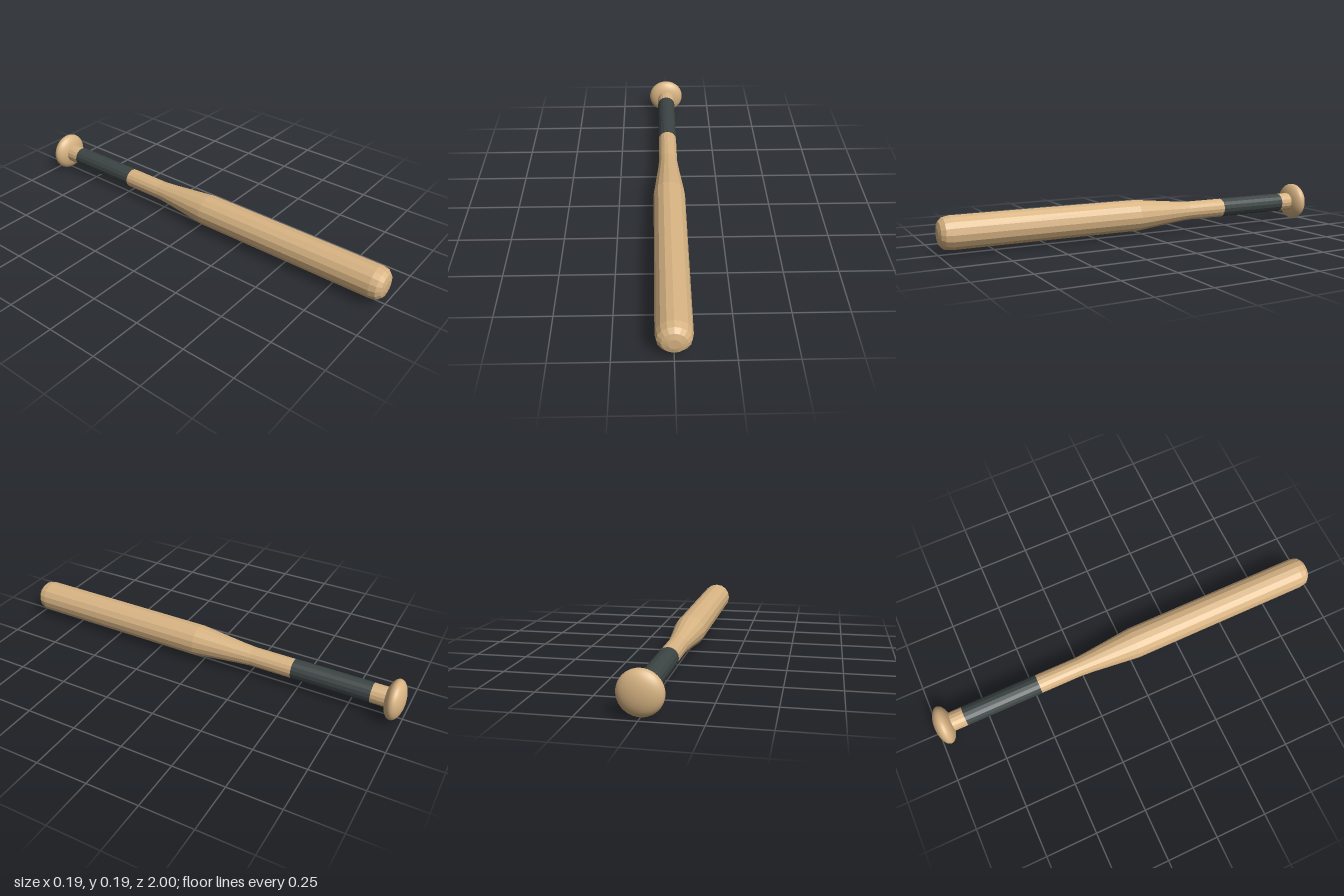
import * as THREE from 'three';

const SIDES = 16;
const AXIS_Y = 0.096;

export function createModel() {
  const wood = new THREE.MeshStandardMaterial({ color: 0xd8b483, flatShading: true });
  wood.name = 'wood';
  const knobWood = wood.clone();
  knobWood.flatShading = false;
  knobWood.name = 'smooth wood';
  const wrap = new THREE.MeshStandardMaterial({ color: 0x3c4444, flatShading: true });
  wrap.name = 'dark grip';

  const bat = new THREE.Group();
  bat.name = 'bat';

  // Turned part along z from [radius, z] pairs, ordered back to front
  const turned = (name, profile, material) => {
    const points = profile.map(([r, z]) => new THREE.Vector2(r, z));
    const mesh = new THREE.Mesh(new THREE.LatheGeometry(points, SIDES).rotateX(Math.PI / 2), material);
    mesh.name = name;
    mesh.position.y = AXIS_Y;
    bat.add(mesh);
  };

  // Bare neck between knob and grip
  turned('neck', [[0.047, -0.95], [0.047, -0.85]], wood);

  // Wrapped grip
  turned('grip', [[0.048, -0.85], [0.048, -0.47]], wrap);

  // Handle, taper, barrel and rounded tip
  turned('barrel', [
    [0.047, -0.47], [0.047, -0.26], [0.053, -0.19], [0.077, 0.035], [0.077, 0.945],
    [0.071, 0.975], [0.053, 0.993], [0.026, 1], [0, 1],
  ], wood);

  // Flattened round knob at the end of the handle
  const knob = new THREE.Mesh(new THREE.SphereGeometry(0.095, 40, 24).rotateX(Math.PI / 2), knobWood);
  knob.name = 'knob';
  knob.scale.z = 0.045 / 0.095;
  knob.position.set(0, AXIS_Y, -0.955);
  bat.add(knob);

  return bat;
}
